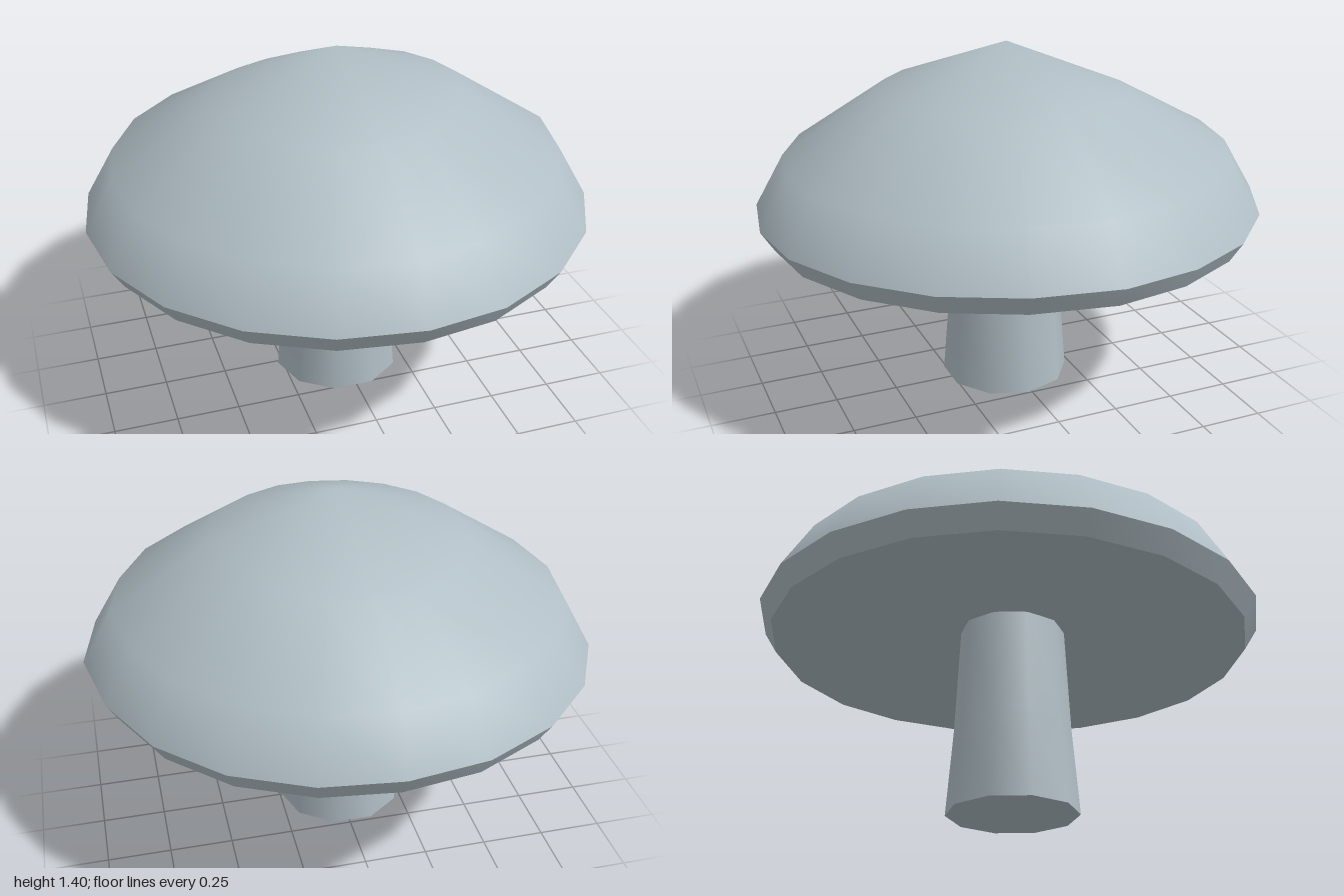
import * as THREE from 'three';
import { mergeVertices } from 'three/addons/utils/BufferGeometryUtils.js';

const paleGrey = new THREE.MeshStandardMaterial({ color: 0xb0bec5 });
paleGrey.name = 'paleGrey';

// Hand-shaped unevenness: the cap sags at the back and is slightly pinched on its left
function unevenCap(v) {
  const r = Math.hypot(v.x, v.z);
  if (r < 0.01) return;
  const angle = Math.atan2(v.z, v.x);
  const back = Math.max(0, Math.cos(angle + THREE.MathUtils.degToRad(105)));
  if (v.y > 0.3) v.y -= 0.042 * back * back; // shoulder ring
  const backLeft = Math.max(0, -v.z) * Math.max(0, v.x); // grows towards the rim
  v.y -= 0.04 * backLeft;
  if (v.x > 0.05 && Math.abs(v.z) > 0.01) {
    v.x -= 0.015;
    if (v.z > 0) v.z += 0.008;
  }
}

// Surface of revolution; points run upward along the outside.
// Seam and pole vertices are welded so the shading is smooth.
function lathe(name, points, sides, parent, rule) {
  const profile = points.map(([r, y]) => new THREE.Vector2(r, y));
  let geometry = new THREE.LatheGeometry(profile, sides);
  geometry.deleteAttribute('uv');
  geometry.deleteAttribute('normal');
  geometry = mergeVertices(geometry, 1e-4);
  if (rule) {
    const p = geometry.attributes.position;
    const v = new THREE.Vector3();
    for (let i = 0; i < p.count; i++) {
      rule(v.fromBufferAttribute(p, i));
      p.setXYZ(i, v.x, v.y, v.z);
    }
  }
  geometry.computeVertexNormals();
  const mesh = new THREE.Mesh(geometry, paleGrey);
  mesh.name = name;
  parent.add(mesh);
}

export function createModel() {
  const model = new THREE.Group();
  model.name = 'mushroom';

  // Cap: separate shells keep the rim edges sharp; heights are relative to the rim
  const cap = new THREE.Group();
  cap.name = 'cap';
  cap.position.set(-0.002, 0.774, 0);
  cap.rotation.set(0.009, 0, 0.009); // slight tilt
  model.add(cap);
  lathe('capDome', [[1, 0], [0.883, 0.202], [0.498, 0.454], [0, 0.626]], 20, cap, unevenCap);
  lathe('capLip', [[0.95, -0.082], [1, 0]], 20, cap, unevenCap);
  // Shallow hollow rising towards the stem
  lathe('capUnderside', [[0, 0.01], [0.95, -0.082]], 20, cap, unevenCap);

  // Stem: ten sides, widening to the base, with a flat foot
  const stem = new THREE.Group();
  stem.name = 'stem';
  stem.position.set(-0.013, 0, 0.012);
  stem.rotation.y = Math.PI / 2;
  model.add(stem);
  lathe('stemSide', [[0.258, 0], [0.23, 0.34], [0.208, 0.78]], 10, stem);
  lathe('stemFoot', [[0, 0], [0.258, 0]], 10, stem);

  return model;
}
